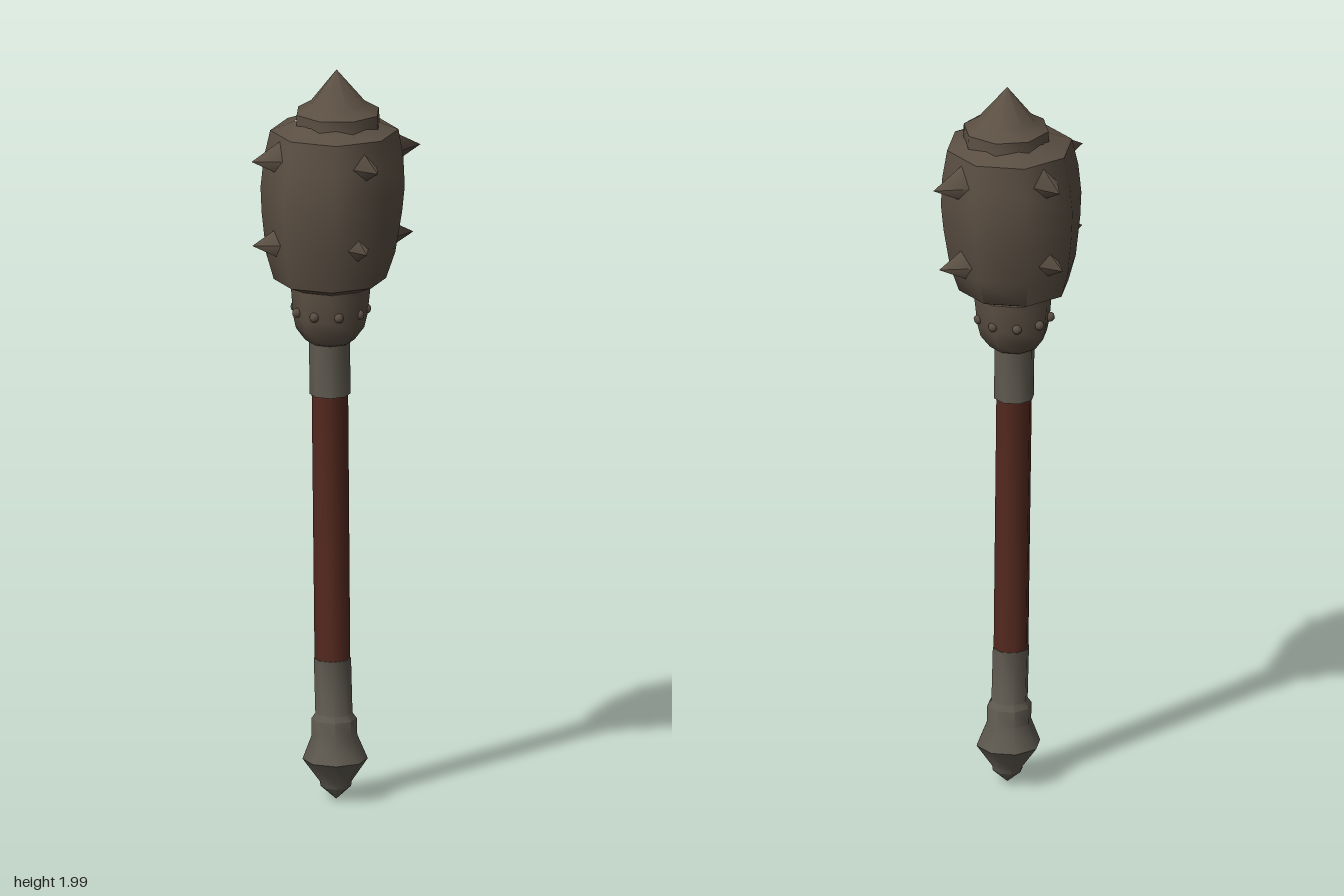
import * as THREE from 'three';
import { toCreasedNormals } from 'three/addons/utils/BufferGeometryUtils.js';

const deg = Math.PI / 180;

function material(name, color) {
  const m = new THREE.MeshStandardMaterial({ color });
  m.name = name;
  return m;
}

export function createModel() {
  const iron = material('dark iron', 0x5b4f43);
  const steel = material('worn steel', 0x5f5a50);
  const wood = material('red brown wood', 0x54291f);
  const group = new THREE.Group();
  group.name = 'spikedMace';

  // Eight-sided turned part whose axis leans from one [x, z] centre to another.
  function turned(name, mat, profile, low, high, turn = 72) {
    const points = profile.map(([r, y]) => new THREE.Vector2(r, y));
    let geo = new THREE.LatheGeometry(points, 8, turn * deg);
    const pos = geo.attributes.position;
    const y0 = profile[0][1];
    const y1 = profile[profile.length - 1][1];
    for (let i = 0; i < pos.count; i++) {
      const t = (pos.getY(i) - y0) / (y1 - y0);
      pos.setX(i, pos.getX(i) + low[0] + (high[0] - low[0]) * t);
      pos.setZ(i, pos.getZ(i) + low[1] + (high[1] - low[1]) * t);
    }
    geo = toCreasedNormals(geo, 0.85);
    const mesh = new THREE.Mesh(geo, mat);
    mesh.name = name;
    group.add(mesh);
  }

  // Pommel with its ferrule
  turned('pommel', steel, [
    [0, 0.01], [0.04, 0.045], [0.042, 0.058], [0.086, 0.12], [0.06, 0.185],
    [0.06, 0.23], [0.049, 0.245], [0.049, 0.395], [0, 0.396],
  ], [-0.002, 0.011], [-0.012, 0.009]);

  // Wooden grip
  turned('grip', wood, [[0.047, 0.385], [0.048, 1.12]], [-0.012, 0.009], [-0.015, -0.002]);

  // Upper ferrule and collar
  turned('upperFerrule', steel, [
    [0, 1.113], [0.054, 1.114], [0.054, 1.28],
  ], [-0.015, -0.002], [-0.016, -0.002]);
  turned('collar', iron, [
    [0.05, 1.255], [0.065, 1.262], [0.09, 1.295], [0.098, 1.33],
    [0.104, 1.395], [0.104, 1.41], [0.085, 1.42],
  ], [-0.016, 0], [-0.014, 0.002]);

  // Barrel-shaped head
  turned('head', iron, [
    [0.08, 1.405], [0.105, 1.412], [0.148, 1.43], [0.17, 1.5], [0.185, 1.61],
    [0.19, 1.68], [0.184, 1.76], [0.169, 1.835], [0.105, 1.86],
  ], [-0.018, 0.004], [-0.004, 0.004]);

  // Crown with the top spike
  turned('crown', iron, [
    [0.117, 1.835], [0.115, 1.885], [0.076, 1.908], [0, 2],
  ], [0.005, 0.007], [0, 0.008], 90);

  // Four-sided spikes: [tip x, y, z]
  const spikeGeo = new THREE.ConeGeometry(0.068, 0.125, 4);
  spikeGeo.translate(0, -0.0625, 0);
  const up = new THREE.Vector3(0, 1, 0);
  const tips = [
    [0.245, 1.766, -0.02], [-0.246, 1.776, 0.03], [0.035, 1.768, 0.232], [-0.015, 1.778, -0.234],
    [0.222, 1.532, -0.012], [-0.242, 1.545, 0.025], [0.008, 1.546, 0.22], [-0.035, 1.546, -0.218],
  ];
  for (const [x, y, z] of tips) {
    const spike = new THREE.Mesh(spikeGeo, iron);
    spike.name = 'spike';
    spike.position.set(x, y, z);
    spike.quaternion.setFromUnitVectors(up, new THREE.Vector3(x + 0.01, 0, z).normalize());
    // Stand the diamond base on its corner
    const out = new THREE.Vector3(x + 0.01, 0, z).normalize();
    const side = new THREE.Vector3().crossVectors(out, up);
    spike.quaternion.setFromRotationMatrix(new THREE.Matrix4().makeBasis(side, out, up.clone().negate()));
    if (side.clone().cross(out).dot(up) > 0) {
      spike.quaternion.setFromRotationMatrix(new THREE.Matrix4().makeBasis(side, out, up));
    }
    group.add(spike);
  }

  // Small rivets around the collar
  const rivetGeo = new THREE.SphereGeometry(0.013, 8, 6);
  for (let i = 0; i < 9; i++) {
    const a = (16 + i * 40) * deg;
    const rivet = new THREE.Mesh(rivetGeo, iron);
    rivet.name = 'rivet';
    rivet.position.set(-0.015 + 0.096 * Math.cos(a), 1.345, 0.096 * Math.sin(a));
    group.add(rivet);
  }

  return group;
}
